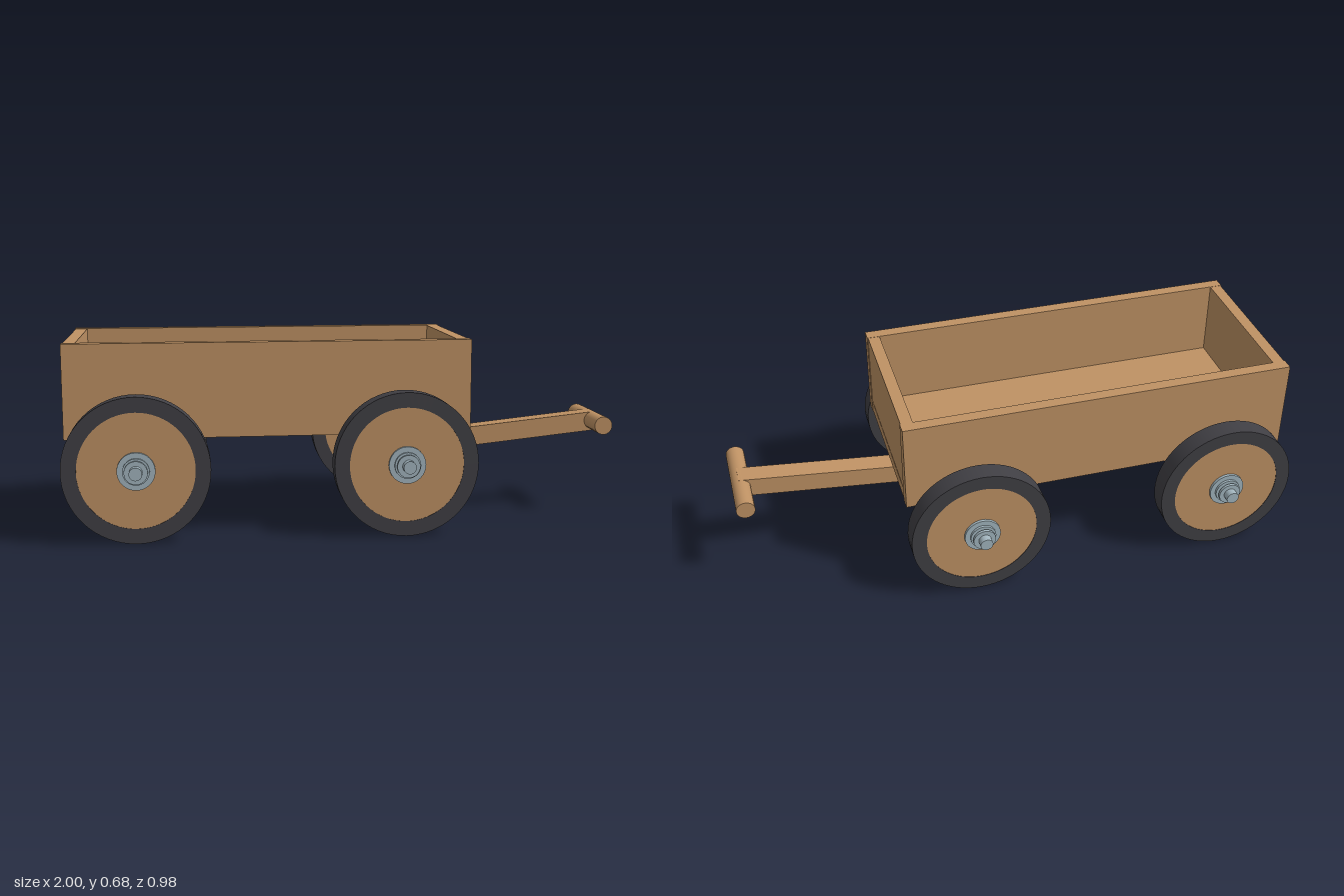
import * as THREE from 'three';

const material = (name, color) => {
  const m = new THREE.MeshStandardMaterial({ color });
  m.name = name;
  return m;
};

export function createModel() {
  const wood = material('wood', 0xbf9264);
  const rubber = material('rubber', 0x403f44);
  const metal = material('metal', 0xa3b6bf);
  const cart = new THREE.Group();
  cart.name = 'handCart';

  const add = (parent, name, geometry, mat, x = 0, y = 0, z = 0) => {
    const mesh = new THREE.Mesh(geometry, mat);
    mesh.name = name;
    mesh.position.set(x, y, z);
    parent.add(mesh);
    return mesh;
  };
  const box = (name, w, h, d, x, y, z) =>
    add(cart, name, new THREE.BoxGeometry(w, h, d), wood, x, y, z);
  // Cylinder lying along z
  const disc = (r, length, sides = 32) =>
    new THREE.CylinderGeometry(r, r, length, sides).rotateX(Math.PI / 2);

  // Open tray: floor, two long sides and two ends set slightly in
  const midX = -0.285, length = 1.42, wall = 0.043;
  box('floor', length - 0.004, 0.045, 0.64, midX, 0.3685, 0);
  for (const s of [1, -1]) {
    box('sideBoard', length, 0.33, wall, midX, 0.51, s * (0.323 - wall / 2));
    box('endBoard', wall, 0.284, 0.56, midX + s * (length / 2 - 0.003 - wall / 2), 0.532, 0);
  }

  // Wheel with its outer face towards +z
  const makeWheel = () => {
    const wheel = new THREE.Group();
    wheel.name = 'wheel';
    // Square-sectioned tyre, rings kept sharp by doubled corners
    const a = 0.2, b = 0.2525, h = 0.0355;
    const profile = [[a, -h], [b, -h], [b, -h], [b, h], [b, h], [a, h], [a, h], [a, -h]]
      .map(([r, y]) => new THREE.Vector2(r, y));
    add(wheel, 'tyre', new THREE.LatheGeometry(profile, 64).rotateX(Math.PI / 2), rubber);
    add(wheel, 'wheelDisc', disc(0.201, 0.068, 64), wood);
    // Hub hardware: radius, thickness, offset along the axle
    const hub = [
      ['innerCollar', 0.04, 0.02, -0.051],
      ['innerFlange', 0.065, 0.01, -0.039],
      ['outerFlange', 0.065, 0.01, 0.039],
      ['outerCollar', 0.046, 0.01, 0.048],
      ['bearing', 0.03, 0.01, 0.056],
      ['washer', 0.04, 0.01, 0.065],
    ];
    for (const [name, r, t, z] of hub) add(wheel, name, disc(r, t), metal, 0, 0, z);
    return wheel;
  };

  // Axles, the beams above them, and the wheels
  for (const x of [-0.7475, 0.18]) {
    box('axleBeam', 0.094, 0.077, 0.652, x, 0.308, 0);
    add(cart, 'axle', disc(0.0225, 0.98), metal, x, 0.2535, 0);
    for (const s of [1, -1]) {
      const wheel = makeWheel();
      wheel.position.set(x, 0.2525, s * 0.3925);
      if (s < 0) wheel.rotation.y = Math.PI;
      cart.add(wheel);
    }
  }

  // Sloping pull bar and cross grip
  const bar = box('pullBar', 0.643, 0.071, 0.076, 0.657, 0.2965, 0);
  bar.rotation.z = 0.104;
  add(cart, 'grip', disc(0.0335, 0.337), wood, 0.9665, 0.331, 0);

  return cart;
}
